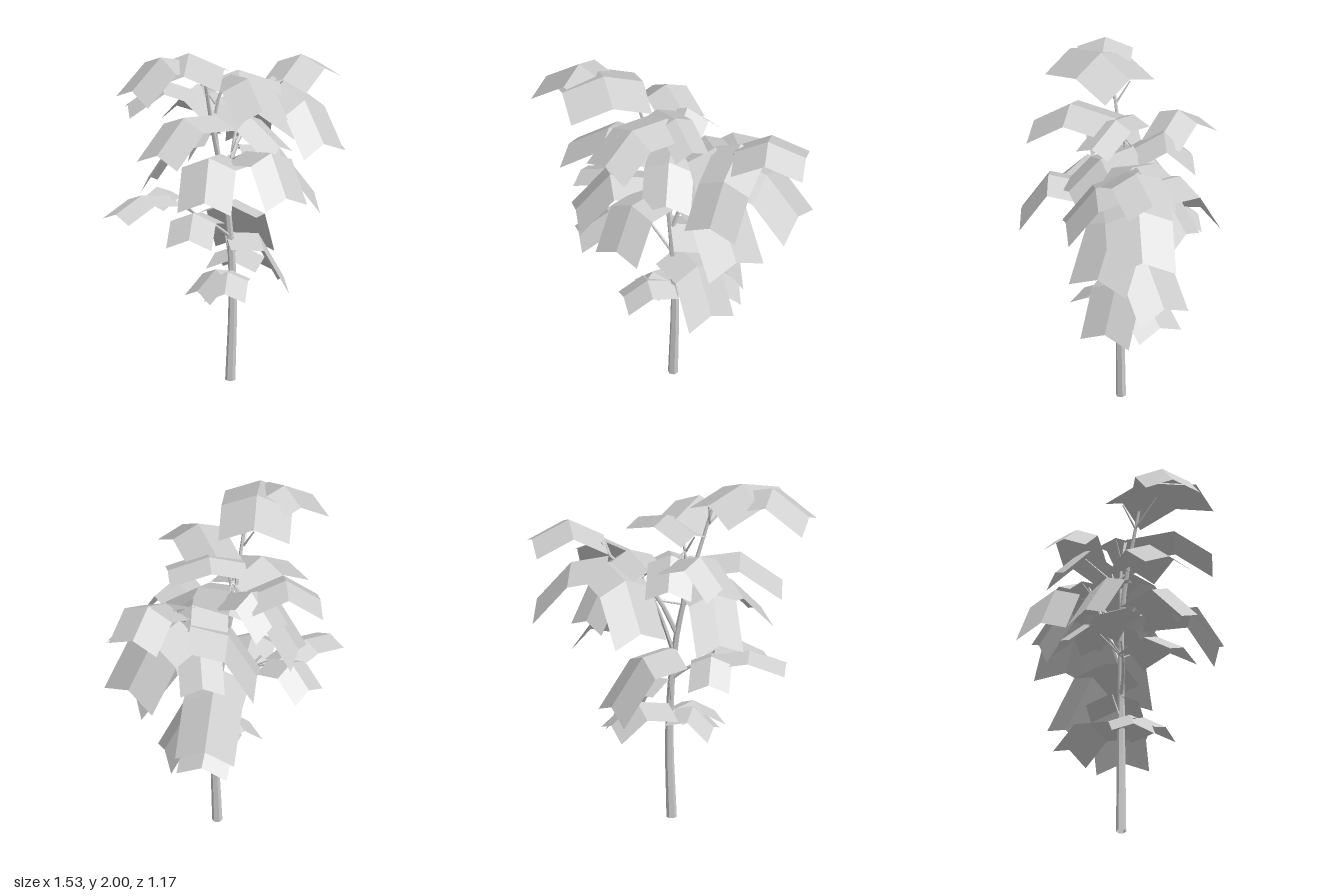
import * as THREE from 'three';

const material = new THREE.MeshStandardMaterial({ color: 0xcccccc, flatShading: true, side: THREE.DoubleSide });

// Tapered six-sided stem along a curve
function stem(name, points, r0, r1, segments = 8) {
  const curve = new THREE.CatmullRomCurve3(points.map(p => new THREE.Vector3(...p)));
  const geo = new THREE.TubeGeometry(curve, segments, 1, 6);
  const pos = geo.attributes.position;
  const v = new THREE.Vector3();
  for (let i = 0; i <= segments; i++) {
    const c = curve.getPointAt(i / segments);
    const r = r0 + (r1 - r0) * i / segments;
    for (let j = 0; j < 7; j++) {
      const k = i * 7 + j;
      v.fromBufferAttribute(pos, k).sub(c).multiplyScalar(r).add(c);
      pos.setXYZ(k, v.x, v.y, v.z);
    }
  }
  geo.computeVertexNormals();
  const mesh = new THREE.Mesh(geo, material);
  mesh.name = name;
  return mesh;
}

// Leaf card: a 2 x 2 sheet with a raised spine, folded across the middle
function leaf(base, mid, tip, width) {
  const geo = new THREE.PlaneGeometry(1, 1, 2, 2);
  const pos = geo.attributes.position;
  const dir = new THREE.Vector3(tip[0] - base[0], 0, tip[2] - base[2]).normalize();
  [tip, mid, base].forEach((p, row) => {
    for (let col = 0; col < 3; col++) {
      const s = (col - 1) * width / 2;
      const droop = Math.abs(col - 1) * width * 0.21;
      pos.setXYZ(row * 3 + col, p[0] - dir.z * s, p[1] - droop, p[2] + dir.x * s);
    }
  });
  geo.computeVertexNormals();
  const mesh = new THREE.Mesh(geo, material);
  mesh.name = 'leaf';
  return mesh;
}

// Each cluster: where its leaf stalks start, then leaves as base, fold, tip, width
const clusters = {
  crownLeaves: { from: [-0.21, 1.78, 0.08], leaves: [
    [[-0.30, 1.94, 0.20], [-0.53, 2.00, 0.23], [-0.73, 1.84, 0.29], 0.31],
    [[-0.24, 1.92, 0.01], [-0.35, 2.00, 0.21], [-0.47, 1.93, 0.42], 0.40],
  ] },
  upperFrontLeaves: { from: [-0.10, 1.62, 0.00], leaves: [
    [[-0.02, 1.79, 0.03], [-0.03, 1.84, 0.30], [-0.03, 1.70, 0.51], 0.31],
    [[-0.17, 1.74, -0.03], [0.03, 1.81, 0.02], [0.25, 1.73, 0.10], 0.21],
    [[-0.06, 1.60, -0.06], [0.06, 1.56, 0.10], [0.19, 1.40, 0.25], 0.28],
  ] },
  upperLeftLeaves: { from: [0.28, 1.58, -0.18], leaves: [
    [[0.36, 1.68, -0.12], [0.52, 1.78, -0.23], [0.68, 1.68, -0.37], 0.30],
    [[0.33, 1.68, -0.20], [0.43, 1.59, 0.03], [0.48, 1.37, 0.19], 0.31],
    [[0.30, 1.58, -0.17], [0.50, 1.53, -0.24], [0.68, 1.30, -0.31], 0.38],
  ] },
  backLeaves: { from: [0.10, 1.48, -0.15], leaves: [
    [[0.27, 1.58, -0.25], [0.09, 1.54, -0.37], [-0.05, 1.27, -0.45], 0.33],
    [[0.16, 1.57, -0.10], [0.24, 1.53, -0.30], [0.29, 1.29, -0.46], 0.25],
    [[0.02, 1.56, -0.22], [0.20, 1.62, -0.12], [0.40, 1.46, -0.02], 0.31],
  ] },
  upperRightLeaves: { from: [-0.12, 1.48, -0.04], leaves: [
    [[-0.12, 1.57, 0.05], [-0.36, 1.61, 0.16], [-0.57, 1.44, 0.27], 0.30],
    [[-0.12, 1.64, -0.20], [-0.32, 1.72, -0.25], [-0.50, 1.58, -0.32], 0.25],
    [[-0.05, 1.58, -0.05], [-0.12, 1.68, -0.22], [-0.18, 1.52, -0.37], 0.26],
    [[-0.14, 1.49, 0.06], [-0.31, 1.43, -0.08], [-0.42, 1.18, -0.20], 0.28],
  ] },
  middleLeaves: { from: [-0.08, 1.28, 0.04], leaves: [
    [[-0.10, 1.35, 0.08], [-0.25, 1.39, 0.26], [-0.35, 1.18, 0.43], 0.31],
    [[0.02, 1.37, 0.15], [0.07, 1.42, 0.40], [0.10, 1.19, 0.55], 0.28],
    [[0.08, 1.34, -0.09], [0.30, 1.32, -0.05], [0.50, 1.04, 0.00], 0.36],
  ] },
  lowerRightLeaves: { from: [-0.21, 0.98, 0.01], leaves: [
    [[-0.33, 1.08, -0.12], [-0.53, 1.12, -0.05], [-0.72, 1.05, 0.03], 0.21],
    [[-0.20, 1.01, 0.05], [-0.32, 1.06, 0.20], [-0.41, 0.95, 0.35], 0.26],
    [[-0.30, 1.07, -0.07], [-0.37, 1.11, -0.21], [-0.42, 0.99, -0.34], 0.23],
  ] },
  lowestLeaves: { from: [-0.01, 0.68, 0.00], leaves: [
    [[-0.03, 1.03, 0.00], [0.09, 1.00, -0.16], [0.21, 0.73, -0.31], 0.34],
    [[-0.02, 0.85, -0.05], [0.17, 0.83, -0.02], [0.31, 0.57, 0.01], 0.30],
    [[0.00, 0.64, 0.02], [-0.12, 0.67, 0.05], [-0.24, 0.56, 0.07], 0.25],
    [[-0.01, 0.64, 0.00], [-0.08, 0.67, 0.13], [-0.15, 0.58, 0.25], 0.23],
    [[0.00, 0.69, -0.02], [0.12, 0.73, -0.17], [0.22, 0.61, -0.29], 0.29],
  ] },
};

export function createModel() {
  const model = new THREE.Group();

  // Trunk and main branches
  model.add(
    stem('trunk', [[-0.01, 0, 0], [0.005, 0.5, 0], [-0.015, 0.9, 0], [-0.06, 1.2, 0], [-0.12, 1.45, 0.02], [-0.22, 1.88, 0.1]], 0.029, 0.008, 12),
    stem('leftBranch', [[-0.04, 1.12, 0], [0.06, 1.36, -0.07], [0.28, 1.58, -0.18], [0.36, 1.66, -0.17]], 0.015, 0.007),
    stem('backBranch', [[-0.02, 1.0, 0], [0.04, 1.3, -0.09], [0.1, 1.48, -0.15], [0.11, 1.56, -0.18]], 0.014, 0.007),
    stem('rightBranch', [[-0.015, 0.84, 0], [-0.1, 0.91, 0.01], [-0.21, 0.98, 0.01], [-0.28, 1.05, 0]], 0.012, 0.006),
    stem('frontBranch', [[-0.08, 1.3, 0], [-0.1, 1.55, 0], [-0.06, 1.76, 0.02]], 0.011, 0.006),
  );

  // Leaf clusters with a thin stalk to each leaf
  for (const [name, { from, leaves }] of Object.entries(clusters)) {
    const group = new THREE.Group();
    group.name = name;
    for (const [base, mid, tip, width] of leaves) {
      group.add(leaf(base, mid, tip, width));
      const end = [base[0], base[1] - 0.01, base[2]];
      group.add(stem('leafStalk', [from, end], 0.007, 0.004, 2));
    }
    model.add(group);
  }
  return model;
}
